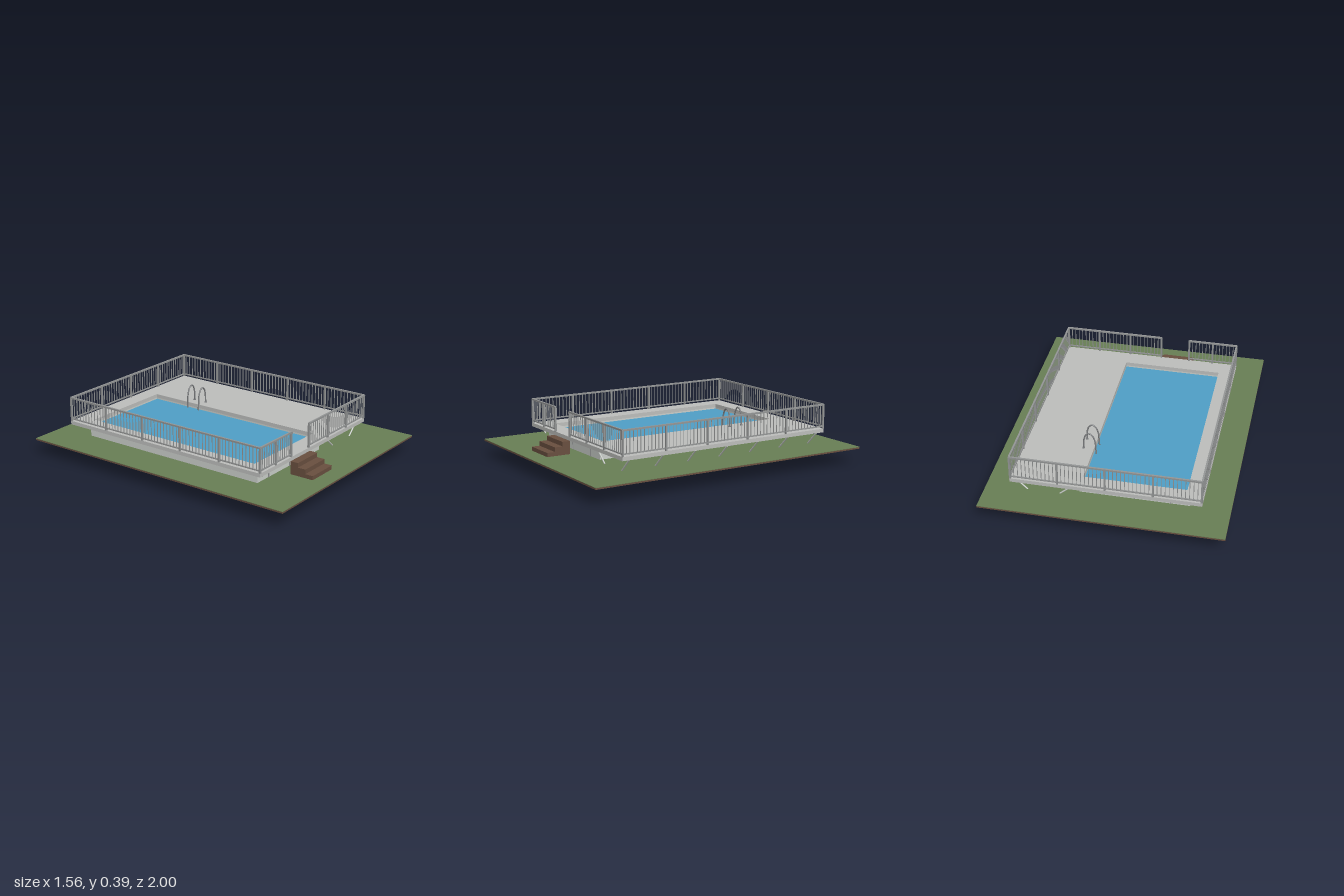
import * as THREE from 'three';

export function createModel() {
  const model = new THREE.Group();
  model.name = 'raisedPool';

  const paint = (name, color, side = THREE.FrontSide) => {
    const m = new THREE.MeshStandardMaterial({ color, side });
    m.name = name;
    return m;
  };
  const grass = paint('grassGreen', 0x687e55);
  const brown = paint('earthBrown', 0x694f3f);
  const deckGrey = paint('deckGrey', 0xbdbebc);
  const wallGrey = paint('wallGrey', 0xcbcfcb);
  const metal = paint('railMetal', 0x949696);
  const ladderMetal = paint('ladderMetal', 0x808284);
  const waterBlue = paint('waterBlue', 0x4f9fc6, THREE.DoubleSide);
  const floorBlue = paint('floorBlue', 0x2e689f, THREE.DoubleSide);

  const add = (name, geo, mat, parent = model) => {
    const mesh = new THREE.Mesh(geo, mat);
    mesh.name = name;
    parent.add(mesh);
    return mesh;
  };
  const group = (name) => {
    const g = new THREE.Group();
    g.name = name;
    model.add(g);
    return g;
  };
  // Box given by its limits on each axis
  const box = (name, x0, x1, y0, y1, z0, z1, mat, parent) => {
    const mesh = add(name, new THREE.BoxGeometry(x1 - x0, y1 - y0, z1 - z0), mat, parent);
    mesh.position.set((x0 + x1) / 2, (y0 + y1) / 2, (z0 + z1) / 2);
    return mesh;
  };
  // Round bar between two points
  const bar = (name, a, b, r, mat, parent) => {
    const p = new THREE.Vector3(...a), q = new THREE.Vector3(...b);
    const mesh = add(name, new THREE.CylinderGeometry(r, r, p.distanceTo(q), 8), mat, parent);
    mesh.position.copy(p).add(q).multiplyScalar(0.5);
    mesh.quaternion.setFromUnitVectors(new THREE.Vector3(0, 1, 0), q.sub(p).normalize());
    return mesh;
  };

  // Basin outline shared by the slab, wall, deck, water and floor
  const pool = { x0: -0.5, x1: 0.16, z0: -0.72, z1: 0.6 };
  const corners = ({ x0, x1, z0, z1 }) =>
    [[x0, -z0], [x0, -z1], [x1, -z1], [x1, -z0]].map(([x, y]) => new THREE.Vector2(x, y));
  // Horizontal slab with the basin cut out
  const ring = (name, outer, y0, y1, mat) => {
    const shape = new THREE.Shape(corners(outer));
    shape.holes.push(new THREE.Path(corners(pool).reverse()));
    const geo = new THREE.ExtrudeGeometry(shape, { depth: y1 - y0, bevelEnabled: false });
    geo.rotateX(-Math.PI / 2).translate(0, y0, 0);
    return add(name, geo, mat);
  };
  const sheet = (name, y, mat) => {
    const geo = new THREE.PlaneGeometry(pool.x1 - pool.x0, pool.z1 - pool.z0);
    geo.rotateX(-Math.PI / 2);
    add(name, geo, mat).position.set((pool.x0 + pool.x1) / 2, y, (pool.z0 + pool.z1) / 2);
  };

  // Ground, basin and deck
  const plot = { x0: -0.78, x1: 0.78, z0: -1, z1: 1 };
  ring('groundSlab', plot, 0.1, 0.11, brown);
  ring('lawn', plot, 0.11, 0.113, grass);
  ring('poolWall', { x0: -0.52, x1: 0.183, z0: -0.735, z1: 0.637 }, 0.113, 0.2, wallGrey);
  ring('deck', { x0: -0.61, x1: 0.61, z0: -0.83, z1: 0.72 }, 0.2, 0.225, deckGrey);
  sheet('water', 0.19, waterBlue);
  sheet('poolFloor', 0, floorBlue);

  // Thin seams on the end walls
  for (const x of [-0.4, -0.17, 0.063]) {
    box('wallSeam', x - 0.003, x + 0.003, 0.113, 0.2, 0.637, 0.641, metal);
    box('wallSeam', x - 0.003, x + 0.003, 0.113, 0.2, -0.739, -0.735, metal);
  }

  // Steps
  const steps = group('steps');
  for (let i = 0; i < 3; i++) {
    box('step', -0.28, -0.06, 0.113, 0.14 + 0.03 * i, 0.72, 0.885 - 0.055 * i, brown, steps);
  }

  // Diagonal braces under the deck overhang
  const braces = group('deckBraces');
  for (let i = 0; i < 7; i++) {
    const z = 0.667 - 0.2405 * i;
    bar('innerBrace', [0.2, 0.2, z], [0.3, 0.113, z], 0.005, wallGrey, braces);
    bar('outerBrace', [0.6, 0.2, z], [0.51, 0.113, z], 0.005, wallGrey, braces);
    bar('sideBrace', [-0.57, 0.2, z], [-0.51, 0.163, z], 0.005, wallGrey, braces);
  }
  for (const x of [-0.49, -0.277, -0.063, 0.15]) {
    bar('frontBrace', [x, 0.2, 0.675], [x, 0.165, 0.63], 0.005, wallGrey, braces);
    bar('backBrace', [x, 0.2, -0.78], [x, 0.165, -0.73], 0.005, wallGrey, braces);
  }

  // Fence run: posts, two rails and pickets between start and end
  const fence = group('fence');
  const run = (name, x0, z0, x1, z1, bays) => {
    const g = new THREE.Group();
    g.name = name;
    fence.add(g);
    const length = Math.hypot(x1 - x0, z1 - z0);
    g.position.set(x0, 0, z0);
    g.rotation.y = Math.atan2(z0 - z1, x1 - x0);
    const bay = length / bays;
    const pickets = Math.round(bay / 0.0256);
    box('topRail', 0, length, 0.382, 0.393, -0.006, 0.006, metal, g);
    box('bottomRail', 0, length, 0.237, 0.245, -0.004, 0.004, metal, g);
    for (let i = 0; i <= bays; i++) {
      box('post', i * bay - 0.006, i * bay + 0.006, 0.225, 0.39, -0.006, 0.006, metal, g);
      for (let k = 1; k < pickets && i < bays; k++) {
        const x = (i + k / pickets) * bay;
        box('picket', x - 0.002, x + 0.002, 0.24, 0.387, -0.002, 0.002, metal, g);
      }
    }
  };
  const fx = 0.605, front = 0.715, back = -0.825;
  run('backFence', -fx, back, fx, back, 4);
  run('leftFence', fx, back, fx, front, 5);
  run('rightFence', -fx, back, -fx, front, 5);
  run('frontFenceShort', -fx, front, -0.27, front, 2);
  run('frontFenceLong', -0.07, front, fx, front, 3);

  // Pool ladder
  const ladder = group('ladder');
  const path = [[0.158, 0.025], [0.145, 0.038], [0.142, 0.1], [0.146, 0.22], [0.153, 0.295],
    [0.172, 0.333], [0.19, 0.342], [0.21, 0.33], [0.224, 0.29], [0.227, 0.222]];
  for (const z of [-0.43, -0.335]) {
    const curve = new THREE.CatmullRomCurve3(path.map(([x, y]) => new THREE.Vector3(x, y, z)));
    add('ladderRail', new THREE.TubeGeometry(curve, 40, 0.005, 8), ladderMetal, ladder);
    const foot = add('ladderFoot', new THREE.CylinderGeometry(0.009, 0.009, 0.006, 12), ladderMetal, ladder);
    foot.position.set(0.227, 0.228, z);
  }
  for (const y of [0.075, 0.15]) {
    box('ladderRung', 0.131, 0.153, y - 0.003, y + 0.003, -0.43, -0.335, ladderMetal, ladder);
  }

  return model;
}
